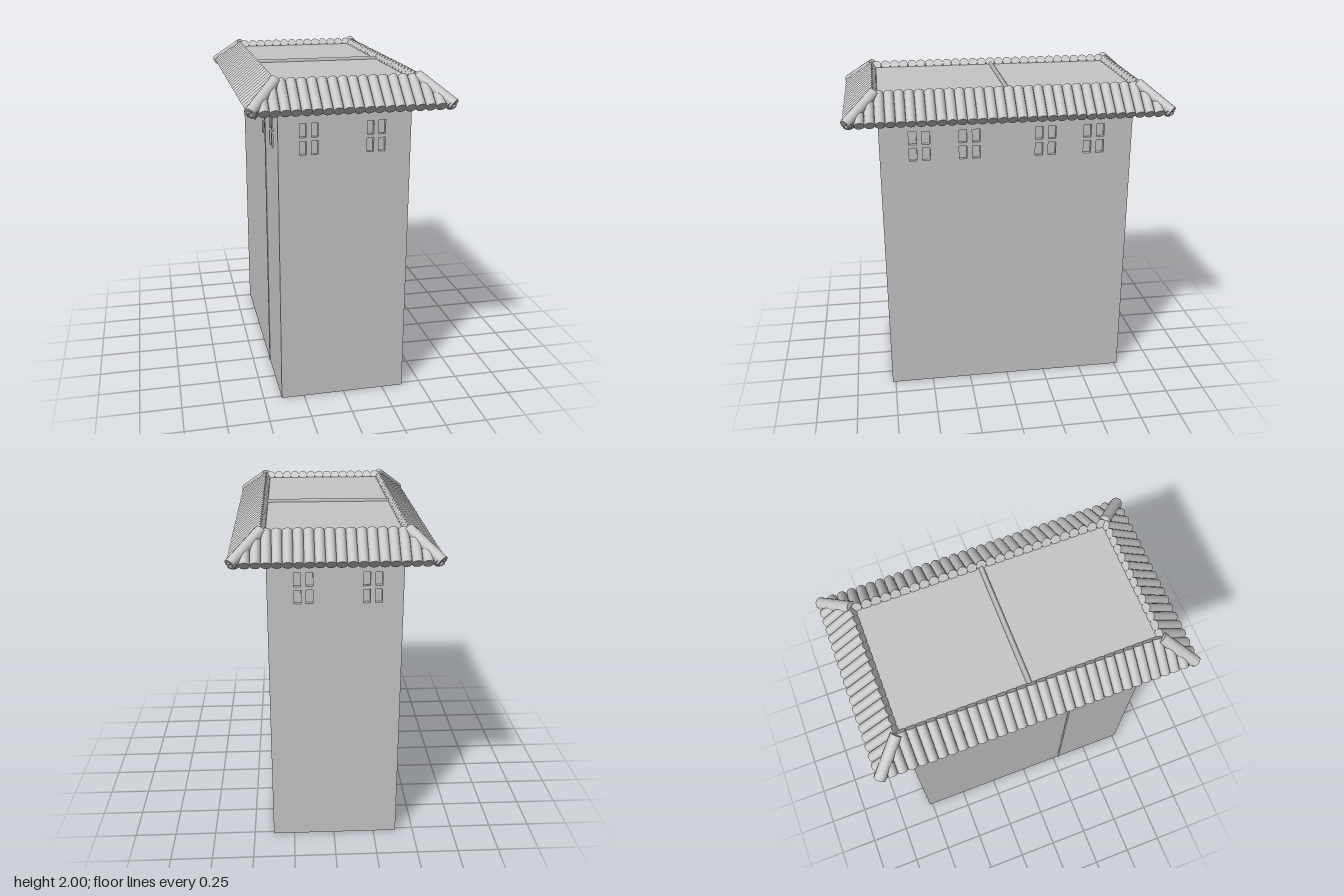
import * as THREE from 'three';
import { ConvexGeometry } from 'three/addons/geometries/ConvexGeometry.js';

const HX = 0.385, HZ = 0.77;   // half width and half depth of the tower
const EAVE = 0.18;             // overhang of the tile axes
const WALL = 0.025;            // wall thickness, also the depth of the window recesses
const TOP = 1.97, LOW = 1.825; // height of the tile axes at the ridge and at the eave

const grey = new THREE.MeshStandardMaterial({ color: 0xc6c6c6 });
grey.name = 'plain grey';

function add(parent, name, geometry, x = 0, y = 0, z = 0) {
  const mesh = new THREE.Mesh(geometry, grey);
  mesh.name = name;
  mesh.position.set(x, y, z);
  parent.add(mesh);
  return mesh;
}

// Flat panel with rectangular holes given as [centre x, centre y, width, height]
function panel(x0, y0, x1, y1, holes) {
  const rect = (S, a, b, c, d) => {
    const s = new S();
    s.moveTo(a, b).lineTo(c, b).lineTo(c, d).lineTo(a, d).closePath();
    return s;
  };
  const shape = rect(THREE.Shape, x0, y0, x1, y1);
  for (const [x, y, w, h] of holes) {
    shape.holes.push(rect(THREE.Path, x - w / 2, y - h / 2, x + w / 2, y + h / 2));
  }
  return new THREE.ExtrudeGeometry(shape, { depth: WALL, bevelEnabled: false });
}

// Four panes around each window centre
function panes(centres, offset, width) {
  const holes = [];
  for (const c of centres) {
    for (const s of [-1, 1]) {
      for (const y of [1.584, 1.685]) holes.push([c + s * offset, y, width, 0.08]);
    }
  }
  return holes;
}

// Round tile between two points
function rod(parent, name, from, to, radius) {
  const dir = to.clone().sub(from);
  const mesh = add(parent, name, new THREE.CylinderGeometry(radius, radius, dir.length(), 14));
  mesh.position.copy(from).add(to).multiplyScalar(0.5);
  mesh.quaternion.setFromUnitVectors(new THREE.Vector3(0, 1, 0), dir.normalize());
}

function buildTower() {
  const tower = new THREE.Group();
  tower.name = 'tower';
  const H = 1.83;
  add(tower, 'core', new THREE.BoxGeometry(2 * (HX - WALL), H - WALL, 2 * (HZ - WALL)), 0, (H + WALL) / 2, 0);

  // Walls with recessed windows
  const narrow = [-0.21, 0.18];
  const wide = [-0.532, -0.232, 0.232, 0.532];
  const walls = [
    ['frontWall', 0, HX, HZ, panes(narrow, 0.034, 0.039)],
    ['backWall', Math.PI, HX, HZ, panes(narrow.map(v => -v), 0.034, 0.039)],
    ['leftWall', Math.PI / 2, HZ - WALL, HX, panes(wide, 0.04, 0.047)],
    ['rightWall', -Math.PI / 2, HZ - WALL, HX, panes(wide, 0.04, 0.047)],
  ];
  for (const [name, angle, half, dist, holes] of walls) {
    const wall = add(tower, name, panel(-half, 0, half, H, holes));
    wall.rotation.y = angle;
    wall.position.set(Math.sin(angle) * (dist - WALL), 0, Math.cos(angle) * (dist - WALL));
  }

  // Base with two square sockets
  const ix = HX - WALL, iz = HZ - WALL;
  const base = add(tower, 'base', panel(-ix, -iz, ix, iz, [[-0.21, 0.23, 0.09, 0.09], [-0.21, -0.545, 0.09, 0.09]]));
  base.rotation.x = Math.PI / 2;
  base.position.y = WALL;

  // Seam strip on one side
  add(tower, 'seamStrip', new THREE.BoxGeometry(0.008, 1.81, 0.012), -HX, 0.905, 0.29);
  tower.position.x = -0.005;
  return tower;
}

function buildRoof() {
  const roof = new THREE.Group();
  roof.name = 'roof';

  // Roof body: flat deck, sloping sides, flat soffit
  const points = [];
  for (const [d, y] of [[0, 1.95], [0.14, 1.832], [0.14, 1.807]]) {
    for (const sx of [-1, 1]) {
      for (const sz of [-1, 1]) points.push(new THREE.Vector3(sx * (HX + d), y, sz * (HZ + d)));
    }
  }
  add(roof, 'roofBody', new ConvexGeometry(points));

  // Low ridge across the deck
  const ridge = add(roof, 'deckRidge', new THREE.CylinderGeometry(0.016, 0.016, 2 * HX, 4), 0, 1.951, -0.005);
  ridge.rotation.z = Math.PI / 2;

  // Rows of round tiles, shortened at the corners where they meet the hips
  const heightAt = d => TOP + (LOW - TOP) * d / EAVE;
  const rows = [
    ['frontTile', 0, HX, HZ, 20], ['backTile', Math.PI, HX, HZ, 20],
    ['leftTile', Math.PI / 2, HZ, HX, 33], ['rightTile', -Math.PI / 2, HZ, HX, 33],
  ];
  for (const [name, angle, half, dist, count] of rows) {
    const row = new THREE.Group();
    row.name = name + 'Row';
    row.rotation.y = angle;
    const reach = half + EAVE - 0.02;
    for (let i = 0; i < count; i++) {
      const x = -reach + 2 * reach * i / (count - 1);
      const start = Math.max(0.005, Math.abs(x) - half - 0.01);
      rod(row, name,
        new THREE.Vector3(x, heightAt(start), dist + start),
        new THREE.Vector3(x, LOW, dist + EAVE), 0.0295);
    }
    roof.add(row);
  }

  // Hip tiles over the four corners
  for (const sx of [-1, 1]) {
    for (const sz of [-1, 1]) {
      rod(roof, 'hipTile',
        new THREE.Vector3(sx * (HX + 0.015), 1.971, sz * (HZ + 0.01)),
        new THREE.Vector3(sx * (HX + 0.178), 1.833, sz * (HZ + 0.178)), 0.034);
    }
  }
  return roof;
}

export function createModel() {
  const model = new THREE.Group();
  model.name = 'towerWithTiledRoof';
  model.add(buildTower(), buildRoof());
  return model;
}
